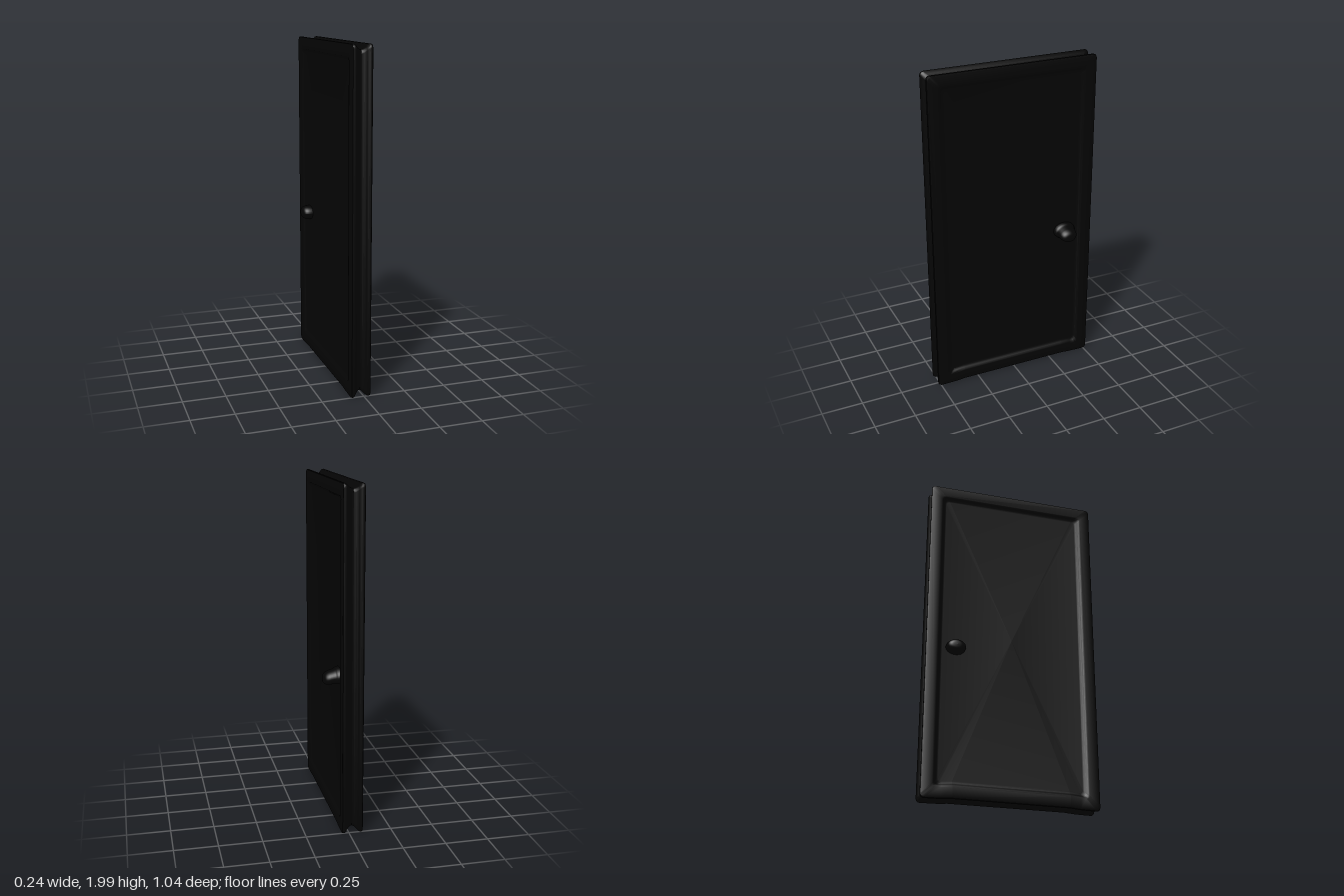
import * as THREE from 'three';
import { toCreasedNormals } from 'three/addons/utils/BufferGeometryUtils.js';

const black = new THREE.MeshStandardMaterial({ color: 0x040404 });
black.name = 'black';

// Rounded door outline at one depth, counter-clockwise seen from +x
function outline(x, inset) {
  const pts = [];
  const r = 0.022, half = 0.518 - inset, top = 2 - inset, foot = 0.006 + inset;
  // The left face leans out slightly towards the back edge
  const add = (u, y) => pts.push([x > 0 ? x + u * 0.006 : x, y, -u]);
  const corner = (u, y, start) => {
    for (let i = 0; i <= 4; i++) {
      const a = start + (i / 4) * Math.PI / 2;
      add(u + r * Math.cos(a), y + r * Math.sin(a));
    }
  };
  corner(half - r, foot + r, -Math.PI / 2);
  corner(half - r, top - r, 0);
  corner(-half + r, top - r, Math.PI / 2);
  corner(-half + r, foot + r, Math.PI);
  // The bottom rail sits slightly above the corner feet
  for (const [u, lift] of [[-0.40, 0.002], [-0.34, 0.007], [0.34, 0.007], [0.40, 0.002]]) {
    add(u, foot + lift);
  }
  return pts;
}

// Skins a series of closed rings and caps both ends
function loft(rings) {
  const n = rings[0].length;
  const pos = rings.flat(2);
  const idx = [];
  const c0 = rings.length * n, c1 = c0 + 1, last = (rings.length - 1) * n;
  pos.push(0.022, 1, 0, -0.062, 1, 0);
  for (let j = 0; j < n; j++) {
    const k = (j + 1) % n;
    idx.push(c0, j, k, c1, last + k, last + j);
    for (let i = 0; i < rings.length - 1; i++) {
      const a = i * n + j, b = i * n + k;
      idx.push(a, a + n, b, b, a + n, b + n);
    }
  }
  const g = new THREE.BufferGeometry();
  g.setAttribute('position', new THREE.Float32BufferAttribute(pos, 3));
  g.setIndex(idx);
  return toCreasedNormals(g, 0.7);
}

// Domed knob along x, flared where it meets the door face
function knob(name, side, y, droop, profile) {
  const points = profile.map(([r, h]) => new THREE.Vector2(r, h));
  const curve = new THREE.SplineCurve(points).getPoints(28);
  const g = new THREE.LatheGeometry(curve, 32);
  g.rotateZ(-side * Math.PI / 2);
  g.scale(1, 0.76, 1.04);
  // Lean the tip downwards
  const p = g.attributes.position;
  for (let i = 0; i < p.count; i++) p.setY(i, p.getY(i) - Math.abs(p.getX(i)) * droop);
  g.computeVertexNormals();
  const m = new THREE.Mesh(g, black);
  m.name = name;
  m.position.set(side * 0.028, y, -0.34);
  return m;
}

export function createModel() {
  const door = new THREE.Group();
  door.name = 'door';

  // Depth and inset: sunken panels and raised frames on both faces, groove round the edge
  const section = [
    [0.022, 0.1], [0.023, 0.09], [0.030, 0.08], [0.038, 0.072], [0.040, 0.064], [0.040, 0.008],
    [0.037, 0.002], [0.030, 0], [0.020, 0.002], [0.008, 0.014], [-0.006, 0.026], [-0.02, 0.031],
    [-0.034, 0.026], [-0.048, 0.014], [-0.060, 0.002], [-0.07, 0], [-0.077, 0.002],
    [-0.080, 0.008], [-0.080, 0.064], [-0.078, 0.072], [-0.070, 0.08], [-0.063, 0.09], [-0.062, 0.1],
  ];
  const slab = new THREE.Mesh(loft(section.map(([x, d]) => outline(x, d))), black);
  slab.name = 'doorSlab';
  door.add(slab);

  door.add(knob('leftKnob', 1, 0.91, 0.2, [[0.068, -0.015], [0.064, 0.012], [0.057, 0.025],
    [0.054, 0.045], [0.051, 0.062], [0.042, 0.078], [0.026, 0.088], [0, 0.092]]));
  door.add(knob('rightKnob', -1, 0.912, 0, [[0.056, 0], [0.056, 0.03], [0.056, 0.05],
    [0.053, 0.066], [0.045, 0.08], [0.028, 0.09], [0, 0.093]]));
  return door;
}
